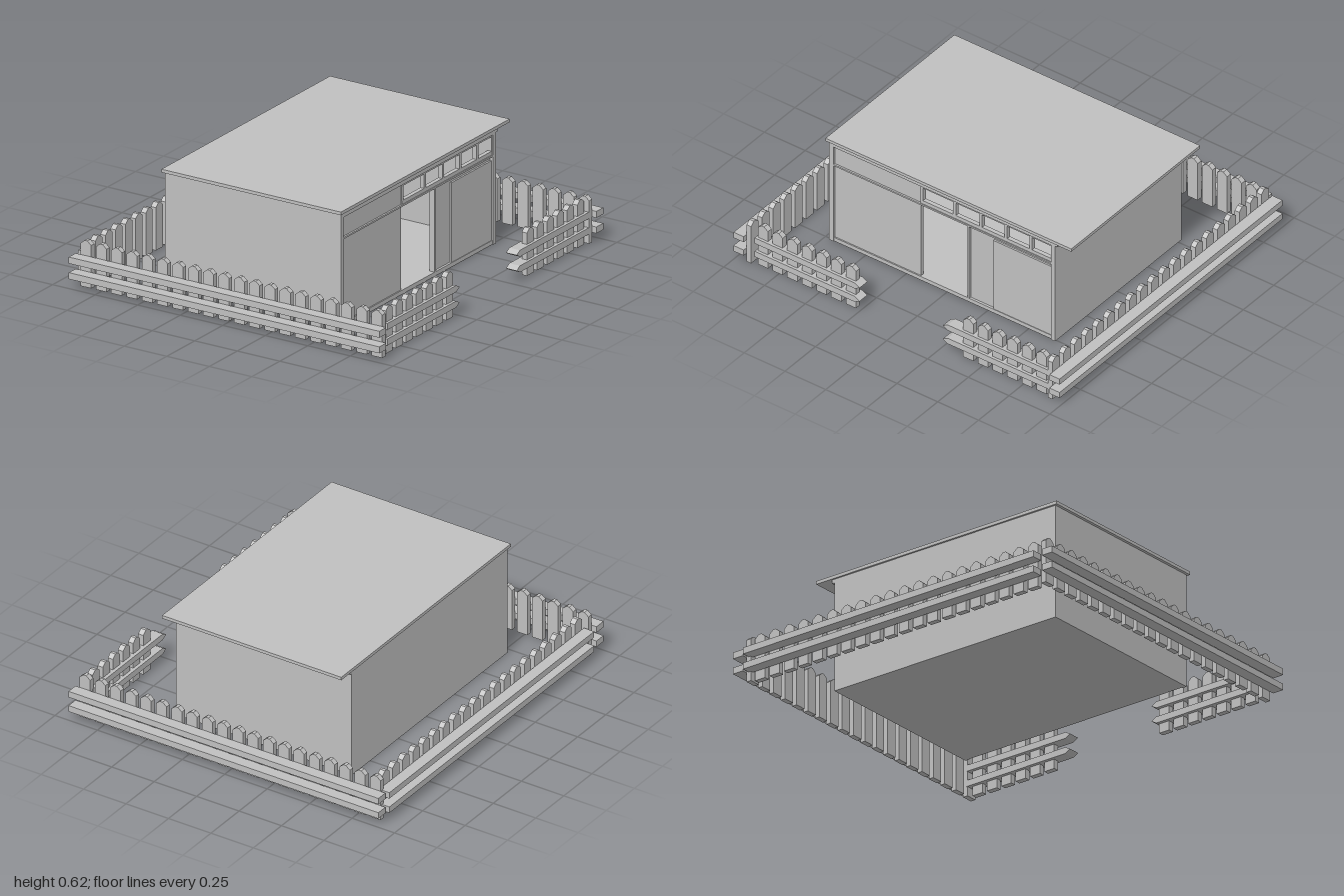
import * as THREE from 'three';

const grey = new THREE.MeshStandardMaterial({ color: 0xc0c0c0 });
grey.name = 'plain grey';

// Box given by its limits on each axis
function box(parent, name, x0, x1, y0, y1, z0, z1) {
  const mesh = new THREE.Mesh(new THREE.BoxGeometry(x1 - x0, y1 - y0, z1 - z0), grey);
  mesh.position.set((x0 + x1) / 2, (y0 + y1) / 2, (z0 + z1) / 2);
  mesh.name = name;
  parent.add(mesh);
  return mesh;
}

// Flat outline in x/y, given thickness from z0 to z1
function slab(points, z0, z1) {
  const shape = new THREE.Shape(points.map(p => new THREE.Vector2(...p)));
  return new THREE.ExtrudeGeometry(shape, { depth: z1 - z0, bevelEnabled: false }).translate(0, 0, z0);
}

// Fence along local x: a row of pointed pickets and two rails; tip = -1 or 1 points that rail end
function fence(name, { from, to, first, count, picketZ, railZ, tip = 0 }) {
  const group = new THREE.Group();
  group.name = name;
  const w = 0.031;
  const picket = slab([[-w, 0], [w, 0], [w, 0.226], [0.008, 0.245], [-0.008, 0.245], [-w, 0.226]], ...picketZ);
  for (let i = 0; i < count; i++) {
    const mesh = new THREE.Mesh(picket, grey);
    mesh.name = 'picket';
    mesh.position.x = first + i * 0.09;
    group.add(mesh);
  }
  for (const y of [0.05, 0.132]) {
    const h = 0.034, cut = 0.03;
    const left = tip < 0 ? [[from + cut, y + h], [from, y + h / 2], [from + cut, y]] : [[from, y + h], [from, y]];
    const right = tip > 0 ? [[to - cut, y], [to, y + h / 2], [to - cut, y + h]] : [[to, y], [to, y + h]];
    const rail = new THREE.Mesh(slab([...left, ...right], ...railZ), grey);
    rail.name = 'rail';
    group.add(rail);
  }
  return group;
}

function buildFences() {
  const yard = new THREE.Group();
  yard.name = 'yardFence';
  const outer = { picketZ: [0.91, 0.938], railZ: [0.938, 1] };
  const front = fence('frontFence', { from: -0.905, to: 0.92, first: -0.845, count: 20, ...outer });
  const back = fence('backFence', { from: -0.92, to: 0.905, first: -0.865, count: 20, ...outer });
  back.rotation.y = Math.PI;
  const left = fence('farSideFence', {
    from: -0.925, to: 0.895, first: -0.865, count: 20, picketZ: [0.83, 0.86], railZ: [0.86, 0.92]
  });
  left.rotation.y = -Math.PI / 2;
  // Gate side: local x runs towards -z
  const side = { picketZ: [0.85, 0.88], railZ: [0.832, 0.895] };
  const gateFront = fence('gateFenceFront', { from: -0.89, to: -0.245, first: -0.85, count: 7, tip: 1, ...side });
  const gateBack = fence('gateFenceBack', { from: 0.265, to: 0.915, first: 0.41, count: 6, tip: -1, ...side });
  gateFront.rotation.y = gateBack.rotation.y = Math.PI / 2;
  yard.add(front, back, left, gateFront, gateBack);
  return yard;
}

function buildHouse() {
  const house = new THREE.Group();
  house.name = 'house';
  const top = 0.605;

  // Shell
  box(house, 'floor', -0.525, 0.505, 0, 0.022, -0.665, 0.72);
  box(house, 'roof', -0.535, 0.52, top, 0.622, -0.772, 0.735);
  box(house, 'frontWall', -0.525, 0.51, 0, top, 0.695, 0.72);
  box(house, 'backWall', -0.525, 0.51, 0, top, -0.665, -0.64);
  box(house, 'farSideWall', -0.525, -0.5, 0, top, -0.665, 0.72);
  box(house, 'roofBatten', -0.525, 0.51, 0.585, top, -0.68, -0.665);

  // Entrance side: recessed panels, open doorway and a slim beam
  box(house, 'lowerPanel', 0.48, 0.498, 0.01, 0.465, 0.165, 0.695);
  box(house, 'upperPanel', 0.48, 0.498, 0.465, 0.585, 0.165, 0.695);
  box(house, 'doorwayBeam', 0.475, 0.508, 0.463, 0.472, -0.64, 0.695);
  box(house, 'topBeam', 0.475, 0.508, 0.578, top, -0.64, 0.695);
  box(house, 'fixedPanel', 0.475, 0.492, 0.02, 0.463, -0.29, -0.125);
  box(house, 'slidingDoor', 0.485, 0.502, 0.02, 0.442, -0.638, -0.28);
  box(house, 'doorHeader', 0.475, 0.492, 0.442, 0.463, -0.64, -0.28);
  box(house, 'doorPost', 0.475, 0.505, 0.02, 0.463, -0.135, -0.125);

  // Strip of five open windows
  box(house, 'windowSill', 0.48, 0.503, 0.472, 0.492, -0.64, 0.165);
  box(house, 'windowHead', 0.48, 0.503, 0.568, 0.578, -0.64, 0.165);
  for (const z of [0.158, -0.043, -0.204, -0.358, -0.511, -0.645]) {
    box(house, 'windowBar', 0.48, 0.503, 0.492, 0.568, z - 0.008, z + 0.008);
  }

  // Sink and boxes inside
  box(house, 'sinkCabinet', -0.5, -0.38, 0.022, 0.11, -0.125, -0.075);
  box(house, 'sinkTop', -0.5, -0.37, 0.11, 0.148, -0.125, -0.065);
  const path = new THREE.CatmullRomCurve3([
    [-0.46, 0.148, -0.12], [-0.46, 0.23, -0.118], [-0.46, 0.257, -0.1], [-0.46, 0.24, -0.08], [-0.46, 0.21, -0.08]
  ].map(p => new THREE.Vector3(...p)));
  const tap = new THREE.Mesh(new THREE.TubeGeometry(path, 16, 0.005, 8), grey);
  tap.name = 'tap';
  house.add(tap);
  box(house, 'storageBox', -0.5, -0.4, 0.022, 0.08, -0.045, 0.045);
  box(house, 'smallBox', -0.49, -0.42, 0.08, 0.115, -0.035, 0.035);
  return house;
}

export function createModel() {
  const model = new THREE.Group();
  model.name = 'fencedHouse';
  model.add(buildHouse(), buildFences());
  return model;
}
